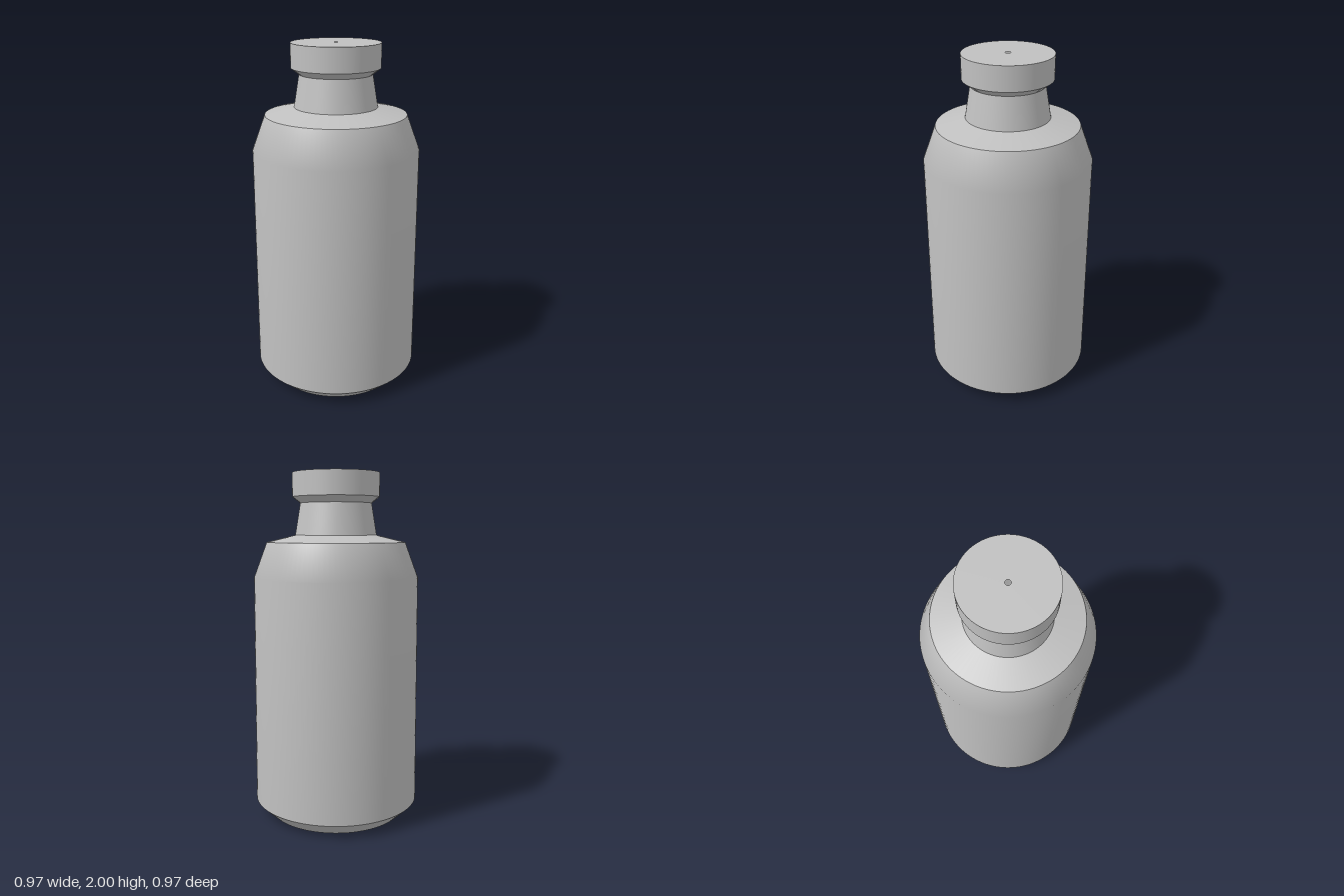
import * as THREE from 'three';

export function createModel() {
  const group = new THREE.Group();
  group.name = 'bottle';
  const grey = new THREE.MeshStandardMaterial({ color: 0xc0c0c0, side: THREE.DoubleSide });
  grey.name = 'plain grey';

  // Each band is turned on its own so the edges between bands stay sharp
  const band = (name, ...profile) => {
    const points = profile.map(([r, y]) => new THREE.Vector2(r, y));
    const mesh = new THREE.Mesh(new THREE.LatheGeometry(points, 96), grey);
    mesh.name = name;
    group.add(mesh);
  };

  // Body, with a pinhole in the base
  band('base', [0.015, 0], [0.4, 0]);
  band('baseChamfer', [0.4, 0], [0.485, 0.08]);
  band('bodyWall', [0.485, 0.08], [0.475, 1.41], [0.4, 1.61]);
  band('shoulder', [0.4, 1.61], [0.235, 1.65]);
  band('neck', [0.235, 1.65], [0.205, 1.83]);

  // Cap, with a pinhole in the top
  band('capUnderside', [0.205, 1.83], [0.25, 1.865]);
  band('capSide', [0.25, 1.865], [0.25, 2]);
  band('capTop', [0.25, 2], [0.015, 2]);

  return group;
}
